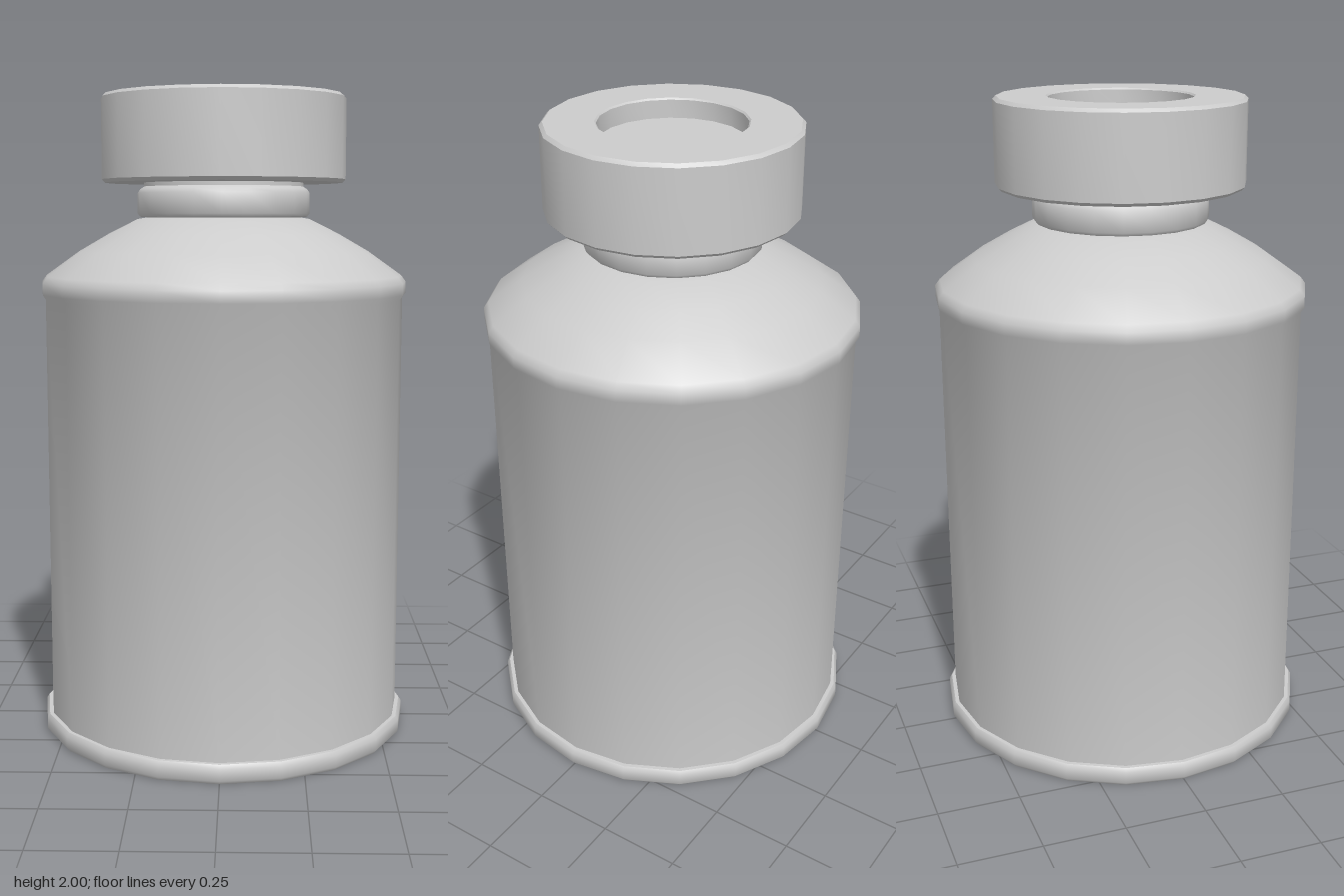
import * as THREE from 'three';
import { toCreasedNormals } from 'three/addons/utils/BufferGeometryUtils.js';

const SIDES = 20;
const material = new THREE.MeshStandardMaterial({ color: 0xcccccc });

// Turns a [radius, height] profile, listed from bottom to top of the outside
function turned(name, profile) {
  const points = profile.map(([r, y]) => new THREE.Vector2(r, y));
  const geometry = toCreasedNormals(new THREE.LatheGeometry(points, SIDES), 0.75);
  const mesh = new THREE.Mesh(geometry, material);
  mesh.name = name;
  return mesh;
}

export function createModel() {
  const group = new THREE.Group();
  group.name = 'bottle';

  // Body with a closed bottom, base rim, rolled shoulder edge and sloping shoulder
  group.add(turned('body', [
    [0, 0], [0.575, 0], [0.585, 0.012], [0.585, 0.048], [0.577, 0.06], [0.565, 0.06],
    [0.565, 1.375], [0.575, 1.39], [0.575, 1.425], [0.56, 1.445],
    [0.455, 1.52], [0.36, 1.575], [0.27, 1.62], [0.24, 1.625],
  ]));

  // Neck with a raised collar, running up into the cap
  group.add(turned('neck', [
    [0.24, 1.625], [0.262, 1.627], [0.27, 1.637], [0.27, 1.7], [0.262, 1.712],
    [0.25, 1.72], [0.25, 1.74],
  ]));

  // Cap with bevelled edges and a shallow round recess in the top
  group.add(turned('cap', [
    [0, 1.732], [0.372, 1.732], [0.382, 1.742], [0.382, 1.99], [0.372, 2],
    [0.224, 2], [0.219, 1.995], [0.219, 1.94], [0, 1.94],
  ]));

  return group;
}
